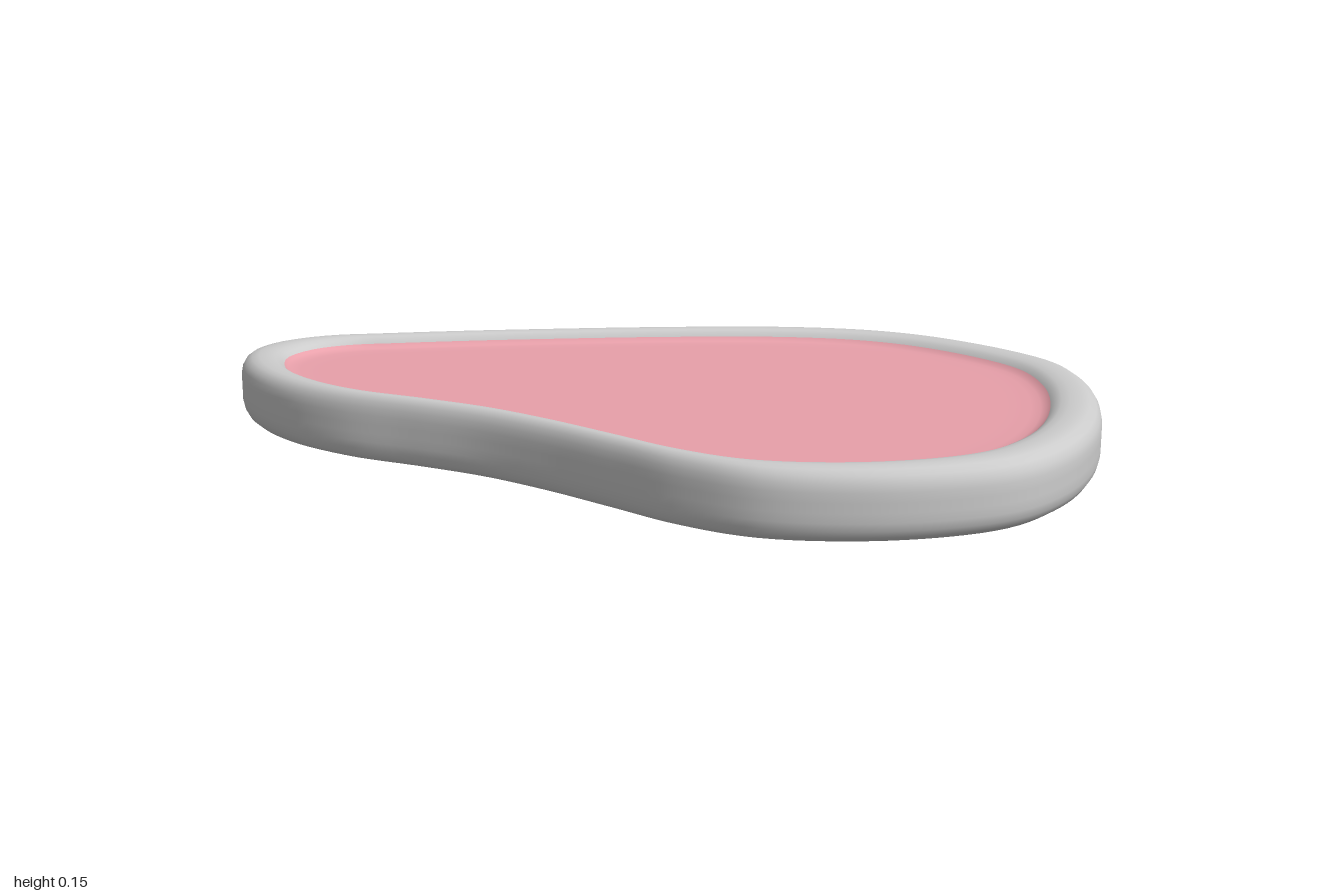
import * as THREE from 'three';

// Outline as [x, z], running left, back, right, front
const OUTLINE = [
  [-1, 0.03], [-0.98, -0.07], [-0.91, -0.15], [-0.8, -0.21], [-0.6, -0.31], [-0.4, -0.4],
  [-0.2, -0.485], [0, -0.56], [0.2, -0.62], [0.39, -0.643], [0.55, -0.62], [0.74, -0.535],
  [0.87, -0.43], [0.95, -0.27], [0.99, -0.08], [0.995, 0.1], [0.965, 0.27], [0.9, 0.41],
  [0.8, 0.505], [0.63, 0.595], [0.43, 0.637], [0.26, 0.605], [0.09, 0.535], [-0.08, 0.465],
  [-0.25, 0.41], [-0.42, 0.38], [-0.6, 0.356], [-0.75, 0.305], [-0.88, 0.22], [-0.965, 0.12],
];
const HEIGHT = 0.15;
const SEGMENTS = 160;

// Sweeps a profile of [outline scale, y] around the outline
function sweep(name, profile, color) {
  const curve = new THREE.CatmullRomCurve3(
    OUTLINE.map(([x, z]) => new THREE.Vector3(x, 0, z)), true);
  const ring = curve.getSpacedPoints(SEGMENTS).slice(0, SEGMENTS);
  const positions = [];
  const indices = [];
  profile.forEach(([s, y], i) => {
    ring.forEach((p, j) => {
      positions.push(p.x * s, y, p.z * s);
      if (i === profile.length - 1) return;
      const k = (j + 1) % SEGMENTS;
      const a = i * SEGMENTS + j, b = i * SEGMENTS + k;
      const c = a + SEGMENTS, d = b + SEGMENTS;
      indices.push(a, c, b, b, c, d);
    });
  });
  const geometry = new THREE.BufferGeometry();
  geometry.setAttribute('position', new THREE.Float32BufferAttribute(positions, 3));
  geometry.setIndex(indices);
  geometry.computeVertexNormals();
  const mesh = new THREE.Mesh(geometry, new THREE.MeshStandardMaterial({ color }));
  mesh.name = name;
  return mesh;
}

// Same profile on the underside, reversed to keep the surface facing out
const flip = (profile) => profile.map(([s, y]) => [s, HEIGHT - y]).reverse();

export function createModel() {
  const group = new THREE.Group();
  group.name = 'steak';

  // Rounded rim: outer wall, soft shoulder, crest and inner lip
  const rimTop = [
    [1, 0.085], [1, 0.105], [0.996, 0.122], [0.987, 0.136], [0.972, 0.146],
    [0.953, 0.15], [0.93, 0.15], [0.912, 0.147], [0.899, 0.141], [0.89, 0.132],
  ];
  group.add(sweep('fatRim', [...flip(rimTop), ...rimTop], 0xcccccc));

  // Slightly sunken meat face on both sides
  const faceTop = [
    [0.89, 0.132], [0.882, 0.126], [0.87, 0.122], [0.85, 0.12], [0.8, 0.119], [0.4, 0.119], [0, 0.119],
  ];
  group.add(sweep('meatTop', faceTop, 0xe8a0aa));
  group.add(sweep('meatBottom', flip(faceTop), 0xe8a0aa));
  return group;
}
